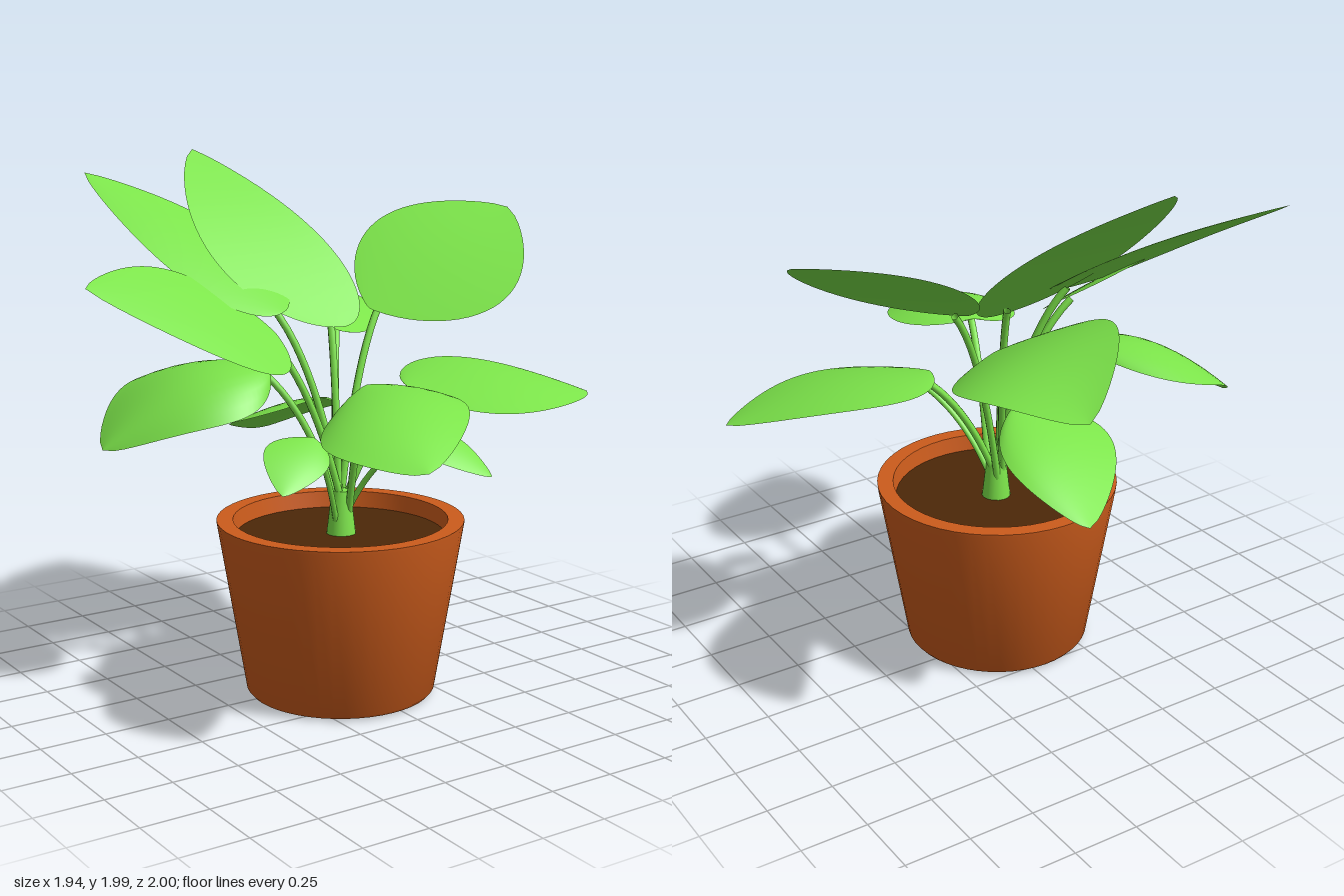
import * as THREE from 'three';
import { toCreasedNormals } from 'three/addons/utils/BufferGeometryUtils.js';

const V = (a) => new THREE.Vector3(...a);

// Each leaf: stalk end, tip, the two widest side points, upward arch
const LEAVES = [
  { name: 'topLeftLeaf', base: [-0.22, 1.44, -0.04], tip: [-0.62, 1.91, -0.84], a: [-0.54, 1.57, -0.25], b: [-0.19, 1.67, -0.42], arch: 0.03 },
  { name: 'topCentreLeaf', base: [0, 1.37, 0], tip: [-0.2, 1.99, -0.75], a: [-0.39, 1.63, -0.27], b: [0.13, 1.62, -0.25], arch: 0.04 },
  { name: 'upperRightLeaf', base: [0.16, 1.42, -0.05], tip: [0.87, 1.76, -0.12], a: [0.46, 1.71, -0.42], b: [0.52, 1.47, 0.31], arch: 0.025 },
  { name: 'upperLeftLeaf', base: [-0.28, 1.37, 0], tip: [-0.97, 1.57, -0.12], a: [-0.5, 1.29, 0.22], b: [-0.56, 1.59, -0.25], arch: 0.03 },
  { name: 'backLeaf', base: [0.12, 1.32, -0.18], tip: [0.3, 1.4, -1.0], a: [-0.08, 1.53, -0.58], b: [0.48, 1.36, -0.52], arch: 0.1 },
  { name: 'lowerLeftLeaf', base: [-0.26, 1.25, -0.1], tip: [-0.87, 0.97, -0.23], a: [-0.52, 1.08, 0.07], b: [-0.55, 1.16, -0.53], arch: 0.1 },
  { name: 'lowerBackLeaf', base: [0, 1.08, -0.15], tip: [0.09, 0.85, -0.73], a: [-0.25, 0.97, -0.38], b: [0.21, 0.98, -0.4], arch: 0.04 },
  { name: 'lowerRightLeaf', base: [0.2, 1.15, 0.14], tip: [0.97, 1.07, 0.27], a: [0.55, 1.19, -0.12], b: [0.47, 1.08, 0.51], arch: 0.05 },
  { name: 'frontLeaf', base: [-0.12, 1.22, 0.34], tip: [-0.33, 1.06, 1.0], a: [-0.49, 1.09, 0.64], b: [0.09, 1.18, 0.64], arch: 0.06 },
  { name: 'smallLeftLeaf', base: [-0.25, 1.02, 0.2], tip: [-0.48, 0.87, 0.36], a: [-0.44, 1.0, 0.18], b: [-0.27, 0.93, 0.32], arch: 0.02 },
  { name: 'smallRightLeaf', base: [0.1, 1.02, 0.31], tip: [0.3, 0.87, 0.53], a: [0.25, 1.0, 0.35], b: [0.12, 0.93, 0.45], arch: 0.02 },
];

// Point on the midrib
function midrib(leaf, u) {
  const p = V(leaf.base).lerp(V(leaf.tip), u);
  p.y += leaf.arch * Math.sin(Math.PI * u);
  return p;
}

// Curved blade with a rounded base and pointed tip
function leafGeometry(leaf, rows = 28, cols = 12) {
  const widest = midrib(leaf, 0.36);
  const a = V(leaf.a).sub(widest);
  const b = V(leaf.b).sub(widest);
  const across = b.clone().sub(a).multiplyScalar(0.5);
  const cup = b.clone().add(a).multiplyScalar(0.5);
  const geo = new THREE.PlaneGeometry(1, 1, cols, rows);
  const pos = geo.attributes.position;
  for (let i = 0; i < pos.count; i++) {
    const v = pos.getX(i) * 2;
    const t = pos.getY(i) + 0.5;
    const u = t * t * (1.6 - 0.6 * t); // denser rows near the round base
    const w = Math.pow(Math.max(0, Math.sin(Math.PI * Math.pow(u, 0.65))), 0.78);
    const p = midrib(leaf, u)
      .addScaledVector(across, v * w)
      .addScaledVector(cup, v * v * w);
    pos.setXYZ(i, p.x, p.y, p.z);
  }
  // Turn the upper side outward
  if (across.clone().cross(V(leaf.tip).sub(V(leaf.base))).y < 0) {
    const idx = geo.index;
    for (let i = 0; i < idx.count; i += 3) {
      const k = idx.getX(i);
      idx.setX(i, idx.getX(i + 1));
      idx.setX(i + 1, k);
    }
  }
  geo.computeVertexNormals();
  return geo;
}

// Stalk rising from the crown and bending out to the blade
function stalkGeometry(leaf, i) {
  const angle = i * 2.4;
  const start = new THREE.Vector3(-0.04 + 0.025 * Math.cos(angle), 0.62, 0.06 + 0.025 * Math.sin(angle));
  const end = midrib(leaf, 0.07);
  end.y -= 0.018;
  const bend = start.clone().lerp(end, 0.38);
  bend.y = start.y + (end.y - start.y) * 0.76;
  return new THREE.TubeGeometry(new THREE.QuadraticBezierCurve3(start, bend, end), 16, i > 8 ? 0.011 : 0.014, 8);
}

export function createModel() {
  const mat = (name, color) => {
    const m = new THREE.MeshStandardMaterial({ color });
    m.name = name;
    return m;
  };
  const terracotta = mat('terracotta', 0xcc5c1c);
  const soilBrown = mat('soilBrown', 0x4c2808);
  const leafGreen = mat('leafGreen', 0x7ce44a);
  leafGreen.side = THREE.DoubleSide;

  const model = new THREE.Group();
  const add = (name, geo, material, parent = model) => {
    const mesh = new THREE.Mesh(geo, material);
    mesh.name = name;
    parent.add(mesh);
    return mesh;
  };

  // Pot with foot, thick rim and inner wall
  const profile = [[0, 0], [0.215, 0], [0.225, 0.008], [0.345, 0.008], [0.355, 0.02],
    [0.46, 0.655], [0.461, 0.667], [0.4, 0.667], [0.385, 0.56]].map(([x, y]) => new THREE.Vector2(x, y));
  const potGroup = new THREE.Group();
  potGroup.name = 'plantPot';
  potGroup.position.set(-0.05, 0, 0.07);
  model.add(potGroup);
  add('pot', toCreasedNormals(new THREE.LatheGeometry(profile, 48), 0.6), terracotta, potGroup);

  // Soil
  const soil = add('soil', new THREE.CircleGeometry(0.39, 48), soilBrown, potGroup);
  soil.rotation.x = -Math.PI / 2;
  soil.position.y = 0.605;

  // Crown where the stalks meet
  const crown = add('crown', new THREE.CylinderGeometry(0.036, 0.057, 0.18, 16), leafGreen);
  crown.position.set(-0.04, 0.68, 0.06);

  // Leaves on their stalks
  LEAVES.forEach((leaf, i) => {
    const group = new THREE.Group();
    group.name = leaf.name;
    model.add(group);
    add('blade', leafGeometry(leaf), leafGreen, group);
    add('stalk', stalkGeometry(leaf, i), leafGreen, group);
  });

  return model;
}
